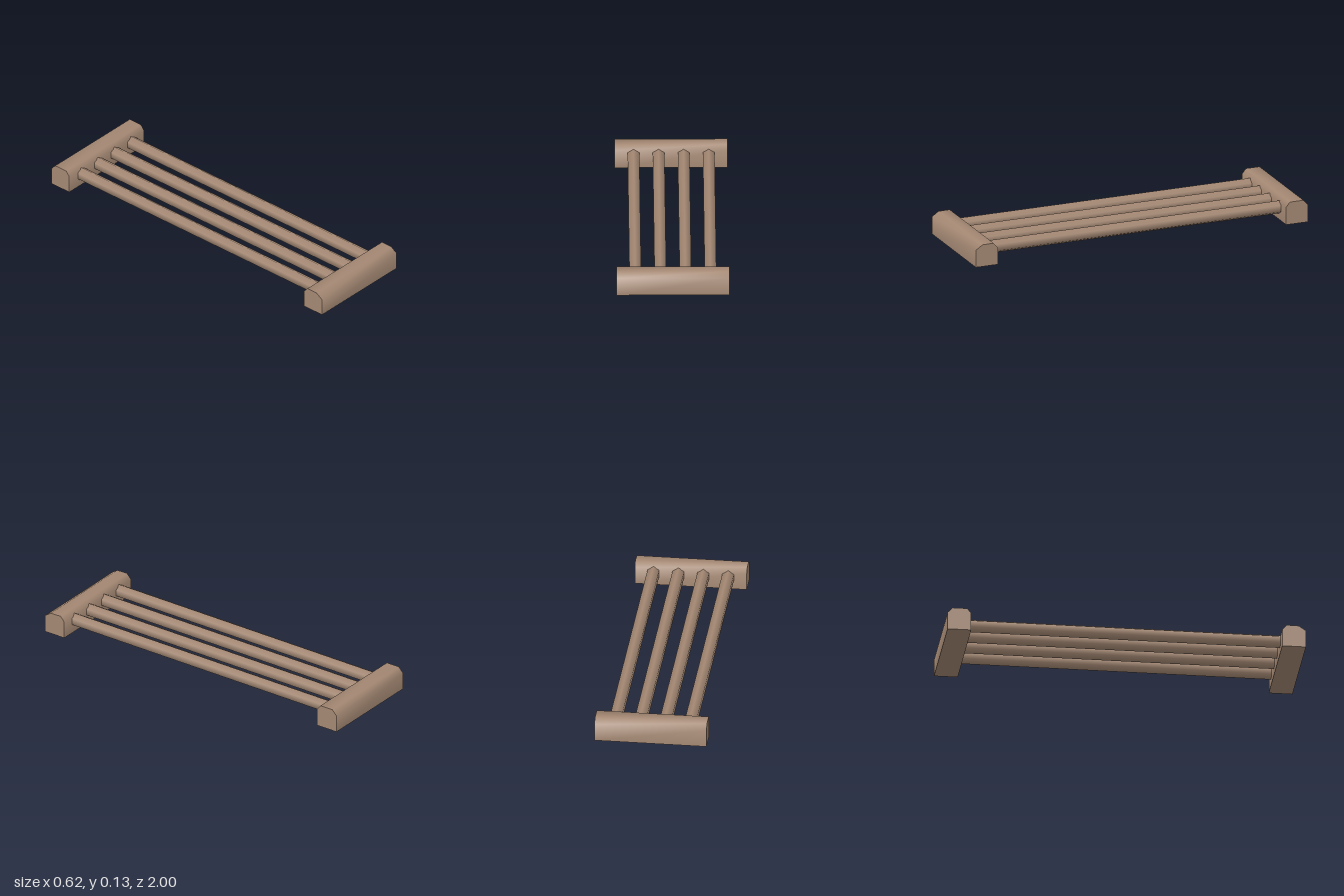
import * as THREE from 'three';
import { toCreasedNormals } from 'three/addons/utils/BufferGeometryUtils.js';

const LENGTH = 0.625; // end beam length along x

// Beam with chamfered top edges; profile points are [z, y]
function makeBeam(name, profile, material) {
  const shape = new THREE.Shape(profile.map(([z, y]) => new THREE.Vector2(z, y)));
  const extruded = new THREE.ExtrudeGeometry(shape, { depth: LENGTH, bevelEnabled: false });
  extruded.translate(0, 0, -LENGTH / 2).rotateY(-Math.PI / 2);
  const beam = new THREE.Mesh(toCreasedNormals(extruded, Math.PI / 3), material);
  beam.name = name;
  return beam;
}

export function createModel() {
  const group = new THREE.Group();
  group.name = 'slattedRack';
  const wood = new THREE.MeshStandardMaterial({ color: 0xa48873 });
  wood.name = 'brown wood';

  // End beams
  group.add(makeBeam('frontBeam', [
    [0.868, 0], [1, 0], [1, 0.1], [0.96, 0.127], [0.893, 0.128], [0.868, 0.1],
  ], wood));
  group.add(makeBeam('backBeam', [
    [-1, 0], [-0.868, 0], [-0.868, 0.103], [-0.89, 0.13], [-0.972, 0.13], [-1, 0.1],
  ], wood));

  // Six-sided bars, running a little way into the beams
  const barGeometry = new THREE.CylinderGeometry(0.0375, 0.0375, 1.76, 6).rotateX(Math.PI / 2);
  for (let i = 0; i < 4; i++) {
    const bar = new THREE.Mesh(barGeometry, wood);
    bar.name = `bar${i + 1}`;
    bar.position.set((i - 1.5) * 0.139, 0.072, 0);
    group.add(bar);
  }
  return group;
}
